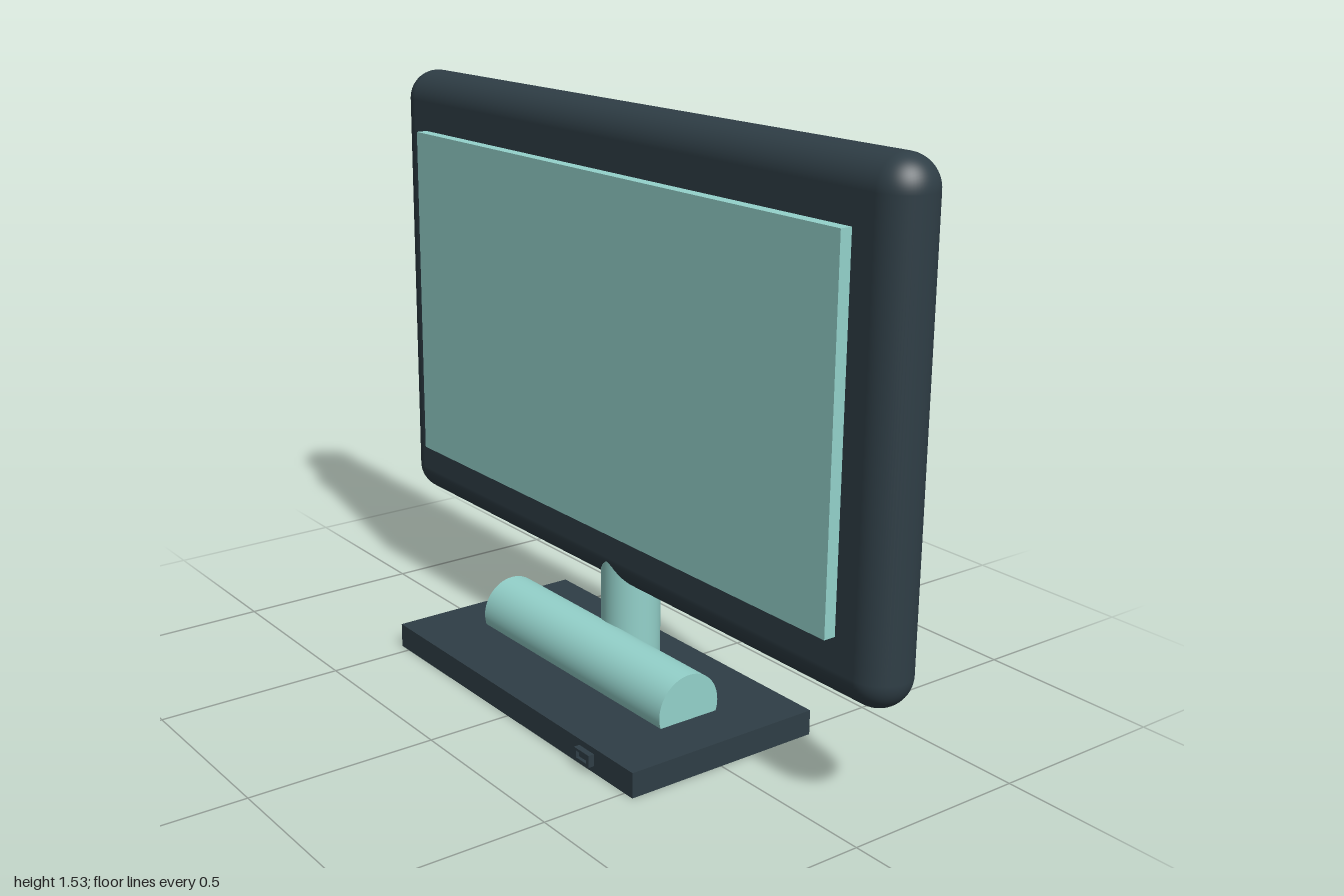
import * as THREE from 'three';
import { RoundedBoxGeometry } from 'three/addons/geometries/RoundedBoxGeometry.js';

export function createModel() {
  const model = new THREE.Group();
  model.name = 'monitor';

  const dark = new THREE.MeshStandardMaterial({ color: 0x2f3e46 });
  dark.name = 'charcoal';
  const teal = new THREE.MeshStandardMaterial({ color: 0x94d2cb });
  teal.name = 'pale teal';

  const add = (name, geometry, material, x, y, z) => {
    const mesh = new THREE.Mesh(geometry, material);
    mesh.name = name;
    mesh.position.set(x, y, z);
    model.add(mesh);
    return mesh;
  };

  // Display body with fully rounded edges, and the raised screen panel
  const bodyZ = -0.124, bodyDepth = 0.16;
  add('body', new RoundedBoxGeometry(2, 1.252, bodyDepth, 8, bodyDepth / 2), dark, 0, 0.909, bodyZ);
  add('screen', new THREE.BoxGeometry(1.716, 0.928, 0.05), teal, 0, 0.911, -0.037);

  // Neck: as wide as the body is deep, running up into its rounded lower edge
  add('neck', new THREE.CylinderGeometry(0.079, 0.079, 0.35, 48), teal, 0, 0.19, bodyZ);

  // Foot plate with a horizontal bar lying sunk into it
  add('base', new THREE.BoxGeometry(1.066, 0.066, 0.558), dark, -0.002, 0.033, -0.008);
  const bar = new THREE.CylinderGeometry(0.092, 0.092, 0.788, 48).rotateZ(Math.PI / 2);
  add('bar', bar, teal, -0.002, 0.095, -0.008);

  // Small framed button on the front edge of the base
  const rect = (path, w, h) => path.moveTo(-w, -h).lineTo(w, -h).lineTo(w, h).lineTo(-w, h).closePath();
  const frame = rect(new THREE.Shape(), 0.03, 0.016);
  frame.holes.push(rect(new THREE.Path(), 0.021, 0.009));
  add('buttonFrame', new THREE.ExtrudeGeometry(frame, { depth: 0.02, bevelEnabled: false }), dark, 0.347, 0.034, 0.267);
  add('button', new THREE.BoxGeometry(0.036, 0.012, 0.014), dark, 0.347, 0.034, 0.274);

  return model;
}
